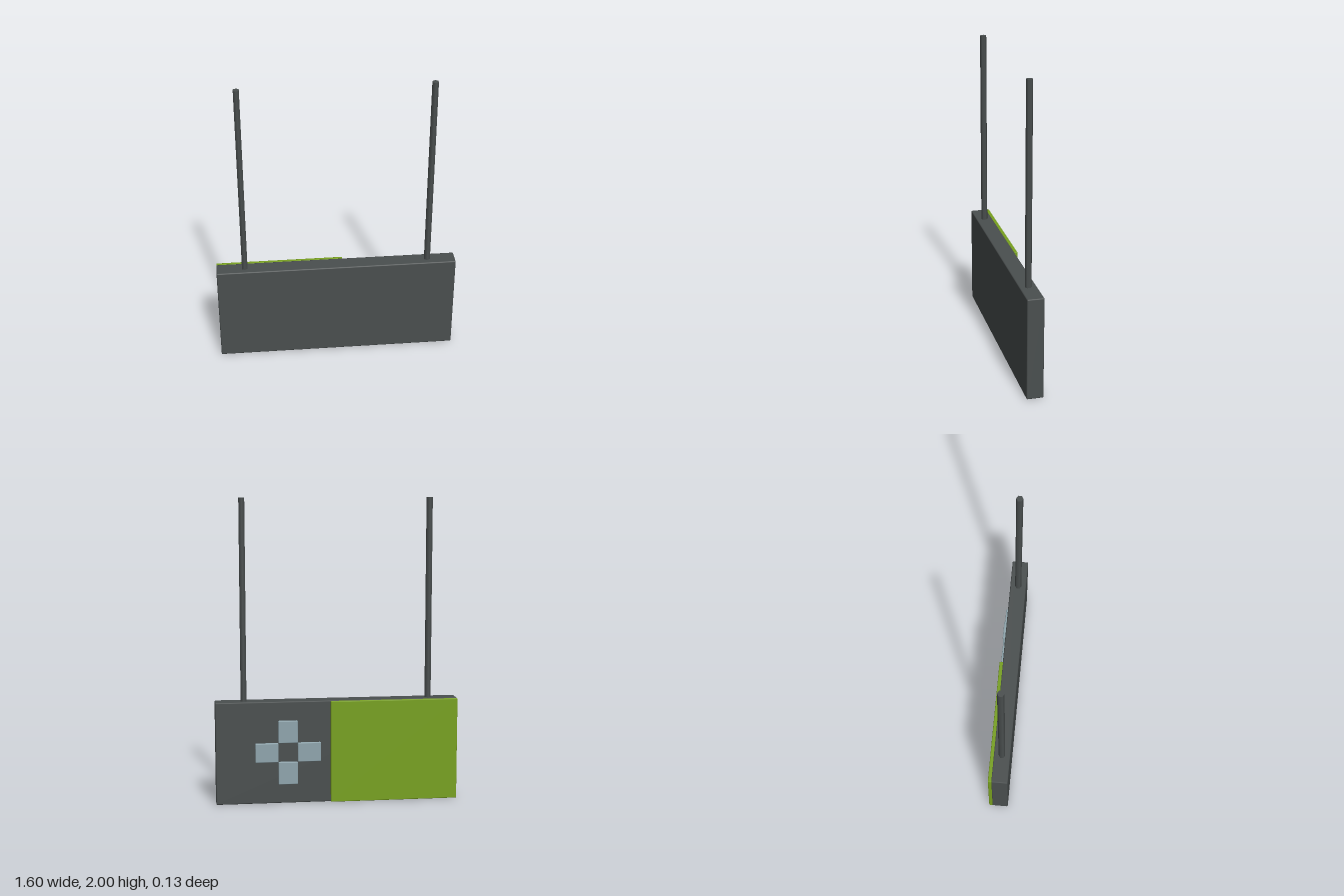
import * as THREE from 'three';
import { RoundedBoxGeometry } from 'three/addons/geometries/RoundedBoxGeometry.js';

const material = (name, color) => {
  const m = new THREE.MeshStandardMaterial({ color });
  m.name = name;
  return m;
};

export function createModel() {
  const model = new THREE.Group();
  model.name = 'hangingSign';
  const charcoal = material('charcoal', 0x4a4f4f);
  const green = material('leafGreen', 0x78a11f);
  const paleBlue = material('paleBlue', 0x8fa5ad);

  // Box with slightly softened edges, given by its extents
  const block = (name, mat, [x0, x1], [y0, y1], [z0, z1], radius) => {
    const geo = new RoundedBoxGeometry(x1 - x0, y1 - y0, z1 - z0, 1, radius);
    const mesh = new THREE.Mesh(geo, mat);
    mesh.name = name;
    mesh.position.set((x0 + x1) / 2, (y0 + y1) / 2, (z0 + z1) / 2);
    model.add(mesh);
  };

  // Main board and the coloured panel on its back
  block('board', charcoal, [-0.8, 0.8], [0, 0.68], [-0.045, 0.065], 0.007);
  const raised = [-0.067, -0.042];
  block('greenPanel', green, [-0.8, 0.045], [0.002, 0.678], raised, 0.005);

  // Four separate tiles forming a cross with an open centre
  const xs = [0.11, 0.263, 0.391, 0.542];
  const ys = [0.13, 0.28, 0.407, 0.555];
  block('crossTileRight', paleBlue, [xs[0], xs[1]], [ys[1], ys[2]], raised, 0.005);
  block('crossTileLeft', paleBlue, [xs[2], xs[3]], [ys[1], ys[2]], raised, 0.005);
  block('crossTileBottom', paleBlue, [xs[1], xs[2]], [ys[0], ys[1]], raised, 0.005);
  block('crossTileTop', paleBlue, [xs[1], xs[2]], [ys[2], ys[3]], raised, 0.005);

  // Hexagonal hanging rods
  const rodGeometry = new THREE.CylinderGeometry(0.0215, 0.0215, 1.34, 6);
  for (const side of [-1, 1]) {
    const rod = new THREE.Mesh(rodGeometry, charcoal);
    rod.name = side < 0 ? 'rightRod' : 'leftRod';
    rod.position.set(side * 0.612, 1.33, 0.01);
    model.add(rod);
  }
  return model;
}
